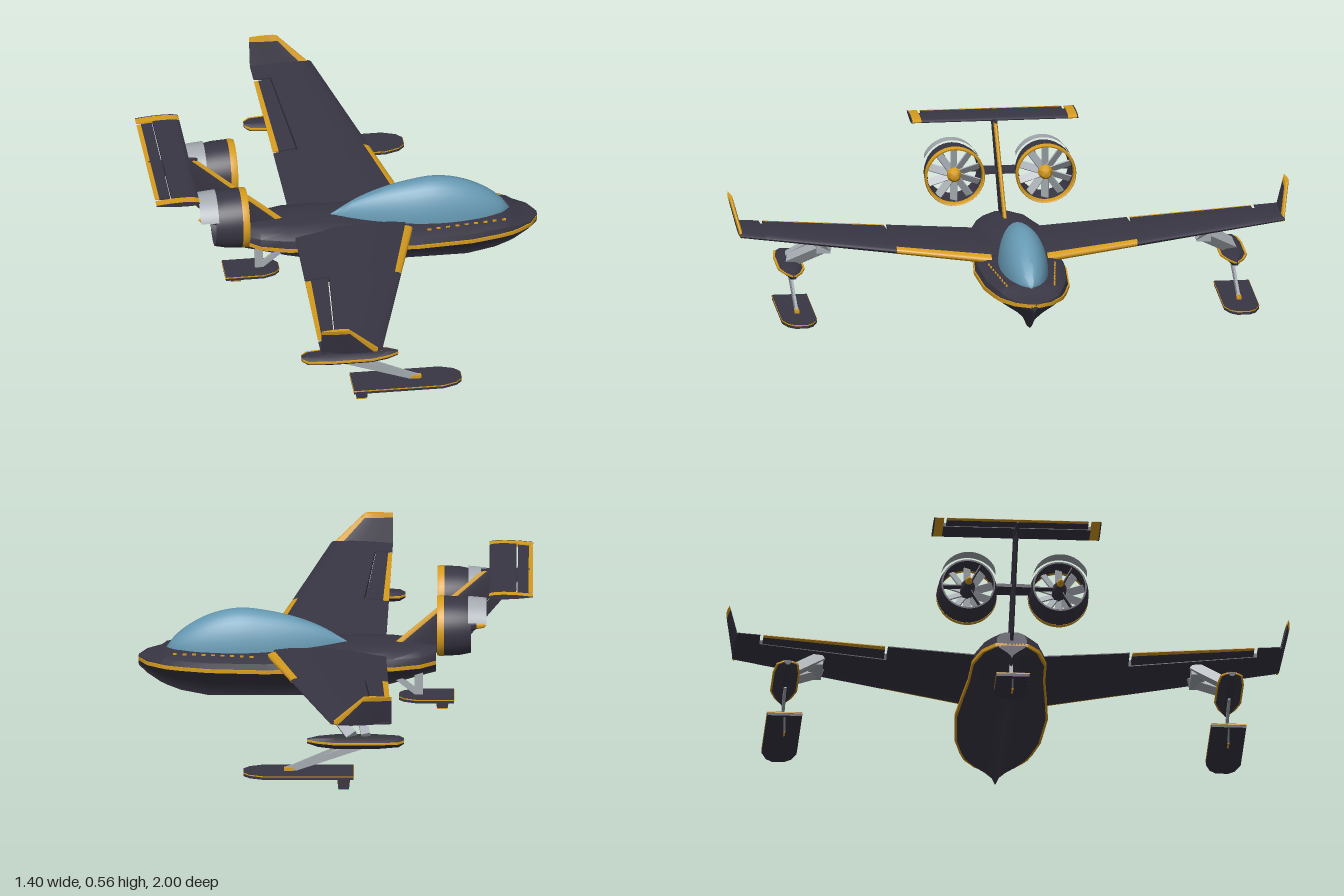
import * as THREE from 'three';
import { toCreasedNormals } from 'three/addons/utils/BufferGeometryUtils.js';

const paint = (name, color) => {
  const m = new THREE.MeshStandardMaterial({ color, side: THREE.DoubleSide });
  m.name = name;
  return m;
};
const DARK = paint('charcoal', 0x393644);
const GOLD = paint('gold', 0xd69c1e);
const GREY = paint('light grey', 0xa4aab0);
const GLASS = paint('blue glass', 0x6699b3);

const lerp = THREE.MathUtils.lerp;

// Closed solid through rings of [x, y, z] points, with capped ends
function loft(rings, crease = 0.6) {
  const pos = [], n = rings[0].length;
  const tri = (a, b, c) => pos.push(...a, ...b, ...c);
  for (let i = 0; i < rings.length - 1; i++)
    for (let j = 0; j < n; j++) {
      const k = (j + 1) % n, [a, b, c, d] = [rings[i][j], rings[i][k], rings[i + 1][k], rings[i + 1][j]];
      tri(a, b, c);
      tri(a, c, d);
    }
  const cap = (r, flip) => {
    const c = [0, 1, 2].map(q => r.reduce((s, p) => s + p[q], 0) / n);
    r.forEach((p, j) => (flip ? tri(c, r[(j + 1) % n], p) : tri(c, p, r[(j + 1) % n])));
  };
  cap(rings[0], true);
  cap(rings[rings.length - 1], false);
  // turn the faces outward when the rings ran the other way
  let vol = 0;
  const A = new THREE.Vector3(), B = new THREE.Vector3(), C = new THREE.Vector3();
  for (let i = 0; i < pos.length; i += 9)
    vol += A.fromArray(pos, i).dot(B.fromArray(pos, i + 3).cross(C.fromArray(pos, i + 6)));
  if (vol < 0)
    for (let i = 0; i < pos.length; i += 9)
      for (let q = 0; q < 3; q++) [pos[i + q], pos[i + 3 + q]] = [pos[i + 3 + q], pos[i + q]];
  const g = new THREE.BufferGeometry();
  g.setAttribute('position', new THREE.Float32BufferAttribute(pos, 3));
  g.computeVertexNormals();
  return toCreasedNormals(g, crease);
}

// Slice u0..u1 of an aerofoil; each section is { x0, x1, y, z, t }
function foil(sections, u0, u1, upright = false) {
  const us = [0, 0.03, 0.15, 0.35, 0.65, 1].map(k => lerp(u0, u1, k));
  const half = u => 2.5 * Math.sqrt(u) * (1 - u) + 0.08;
  return loft(sections.map(s => {
    const side = d => us.map(u => {
      const x = lerp(s.x0, s.x1, u), h = d * s.t * half(u);
      return upright ? [x, s.y, s.z + h] : [x, s.y + h, s.z];
    });
    return [...side(1), ...side(-1).reverse()];
  }));
}

export function createModel() {
  const root = new THREE.Group();
  root.name = 'seaplane';
  const add = (name, geo, mat, parent = root) => {
    const m = new THREE.Mesh(geo, mat);
    m.name = name;
    parent.add(m);
    return m;
  };
  const beam = (name, mat, a, b, w, d, parent) => {
    const A = new THREE.Vector3(...a), B = new THREE.Vector3(...b), dir = B.clone().sub(A);
    const m = add(name, new THREE.BoxGeometry(w, dir.length(), d), mat, parent);
    m.position.copy(A).add(B).multiplyScalar(0.5);
    m.quaternion.setFromUnitVectors(new THREE.Vector3(0, 1, 0), dir.normalize());
  };

  // Fuselage stations: x, half width, keel y, deck y
  const stations = [
    [-0.355, 0.055, 0.17, 0.272], [-0.3, 0.1, 0.155, 0.28], [-0.2, 0.13, 0.125, 0.284],
    [-0.05, 0.135, 0.09, 0.284], [0.1, 0.15, 0.08, 0.275], [0.25, 0.163, 0.08, 0.27],
    [0.45, 0.15, 0.08, 0.268], [0.55, 0.127, 0.1, 0.266], [0.6, 0.111, 0.12, 0.262],
    [0.62, 0.1, 0.13, 0.246], [0.67, 0.065, 0.165, 0.24], [0.7, 0.012, 0.195, 0.232],
  ];
  const mirrored = half => [...half, ...half.filter(p => p[2] > 1e-6).reverse().map(([x, y, z]) => [x, y, -z])];
  const body = (profile, crease) => loft(stations.map(s => mirrored(profile(...s))), crease);
  const V = [[0, 0], [0.1, 0.25], [0.36, 0.5], [0.73, 0.76], [1, 1]];
  add('hull', body((x, w, k) => [...V.map(([a, b]) => [x, lerp(k, 0.22, b), w * a]), [x, 0.22, 0]]), DARK);
  add('chineStripe', body((x, w) => [[x, 0.216, 0], [x, 0.216, w + 0.003], [x, 0.229, w + 0.003], [x, 0.229, 0]]), GOLD);
  add('deck', body((x, w, k, t) => [[x, 0.222, 0], [x, 0.222, w], [x, lerp(0.23, t, 0.5), w * 0.95],
    [x, lerp(0.23, t, 0.85), w * 0.72], [x, t, w * 0.4], [x, t, 0]], 0.8), DARK);

  // Teardrop canopy: x, top y, half width
  const bubble = new THREE.CatmullRomCurve3([
    [-0.04, 0.284, 0.002], [0.05, 0.338, 0.036], [0.15, 0.376, 0.063], [0.25, 0.398, 0.08], [0.34, 0.407, 0.086],
    [0.43, 0.39, 0.08], [0.51, 0.352, 0.064], [0.57, 0.305, 0.038], [0.602, 0.262, 0.003],
  ].map(p => new THREE.Vector3(...p)));
  add('canopy', loft(bubble.getPoints(28).map(p => Array.from({ length: 19 }, (_, i) => {
    const a = (i / 18) * Math.PI;
    return [p.x, 0.255 + (p.y - 0.255) * Math.sin(a), p.z * Math.cos(a)];
  })), 0.9), GLASS);

  for (const s of [1, -1]) {
    const sideName = s > 0 ? 'left' : 'right';

    // Gold dashes along the deck shoulder beside the canopy
    for (let x = 0.3; x < 0.6; x += 0.034) {
      const w = lerp(0.118, 0.082, Math.max(0, (x - 0.3) / 0.3));
      add('deckDash', new THREE.BoxGeometry(0.014, 0.006, 0.005).translate(x, 0.2645, s * w), GOLD);
    }

    // Wing with a cut-out for the aileron
    const wing = new THREE.Group();
    wing.name = sideName + 'Wing';
    root.add(wing);
    const at = z => {
      const k = (z - 0.15) / 0.82;
      return { x0: 0.23 - 0.21 * k, x1: -0.18 - 0.02 * k, y: 0.265 + 0.05 * k, z: s * z, t: 0.024 - 0.013 * k };
    };
    const span = (a, b) => [at(a), at(b)];
    add('wingLeadingTrim', foil(span(0.1, 0.43), 0, 0.065), GOLD, wing);
    add('wingRoot', foil(span(0.08, 0.43), 0.065, 1), DARK, wing);
    add('wingMiddle', foil(span(0.43, 0.885), 0, 0.745), DARK, wing);
    add('wingOuter', foil(span(0.885, 0.972), 0, 1), DARK, wing);
    add('aileron', foil(span(0.44, 0.873), 0.763, 0.94), DARK, wing);
    add('aileronTrim', foil(span(0.44, 0.873), 0.94, 1), GOLD, wing);

    // Winglet
    const tip = k => ({ x0: lerp(0.02, -0.1, k), x1: -0.2, y: lerp(0.308, 0.42, k), z: s * lerp(0.966, 0.994, k), t: 0.008 });
    add('winglet', foil([tip(0), tip(0.86)], 0.14, 1, true), DARK, wing);
    add('wingletFrontTrim', foil([tip(0), tip(0.86)], 0, 0.14, true), GOLD, wing);
    add('wingletTopTrim', foil([tip(0.86), tip(1)], 0, 1, true), GOLD, wing);

    // Outboard float, ski and struts
    const gear = new THREE.Group();
    gear.name = sideName + 'Float';
    root.add(gear);
    const zc = s * 0.79;
    const lens = [[-0.245, 0.015, 0.4], [-0.225, 0.036, 0.8], [-0.15, 0.045, 1], [0, 0.045, 1], [0.06, 0.028, 0.8], [0.1, 0.006, 0.4]];
    add('float', loft(lens.map(([x, w, h]) => [[w, 0], [w * 0.5, 0.015 * h], [-w * 0.5, 0.015 * h], [-w, 0], [-w * 0.3, -0.028 * h], [w * 0.3, -0.028 * h]]
      .map(([z, y]) => [x, 0.186 + y, zc + z]))), DARK, gear);
    add('floatTrim', loft(lens.map(([x, w]) => [[1, 0.003], [-1, 0.003], [-1, -0.003], [1, -0.003]]
      .map(([k, y]) => [x, 0.186 + y, zc + k * (w + 0.003)]))), GOLD, gear);
    beam('rearWingStrut', GREY, [-0.11, 0.2, zc], [-0.08, 0.283, s * 0.66], 0.032, 0.035, gear);
    beam('frontWingStrut', GREY, [-0.06, 0.2, zc], [0.03, 0.283, s * 0.66], 0.04, 0.035, gear);
    beam('strutBridge', GREY, [-0.09, 0.265, s * 0.68], [0.04, 0.265, s * 0.68], 0.03, 0.05, gear);
    beam('skiStrut', GREY, [-0.09, 0.165, zc], [0.17, 0.075, zc], 0.024, 0.01, gear);
    beam('skiBrace', GREY, [-0.02, 0.165, zc], [0.15, 0.09, zc], 0.01, 0.008, gear);
    ski(gear, -0.065, 0.325, 0.058, 0.062, zc);
    add('skiPivot', new THREE.BoxGeometry(0.035, 0.012, 0.016).translate(0.165, 0.079, zc), GOLD, gear);
    fin(gear, -0.03, 0.0, 0.06, zc);

    // Ducted fan, turned about the x axis
    const fan = new THREE.Group();
    fan.name = sideName + 'DuctedFan';
    fan.position.set(0, 0.399, s * 0.163);
    root.add(fan);
    const turn = pts => toCreasedNormals(new THREE.LatheGeometry(pts.map(p => new THREE.Vector2(...p)), 40).rotateZ(-Math.PI / 2), 0.6);
    add('duct', turn([[0.09, -0.48], [0.096, -0.48], [0.104, -0.44], [0.107, -0.385], [0.097, -0.385], [0.09, -0.48]]), DARK, fan);
    add('ductLip', turn([[0.097, -0.385], [0.108, -0.385], [0.108, -0.37], [0.105, -0.36], [0.1, -0.362], [0.097, -0.385]]), GOLD, fan);
    add('hub', turn([[0, -0.5], [0.012, -0.5], [0.025, -0.46], [0.025, -0.4], [0, -0.4]]), DARK, fan);
    add('spinner', turn([[0.026, -0.4], [0.024, -0.385], [0.015, -0.37], [0, -0.365]]), GOLD, fan);
    add('hubTail', turn([[0, -0.535], [0.008, -0.525], [0.012, -0.5]]), GOLD, fan);
    add('exhaustHood', new THREE.CylinderGeometry(0.106, 0.1, 0.065, 24, 1, true, -Math.PI / 2 - 1.17, 2.34)
      .rotateZ(-Math.PI / 2).translate(-0.503, 0, 0), GREY, fan);
    for (let i = 0; i < 10; i++)
      add('blade', new THREE.BoxGeometry(0.005, 0.075, 0.028).rotateY(0.6).translate(0, 0.059, 0)
        .rotateX((i / 10) * Math.PI * 2).translate(-0.405, 0, 0), GREY, fan);
    for (const a of [0.5, 2.6, 4.7])
      add('stator', new THREE.BoxGeometry(0.03, 0.085, 0.004).translate(0, 0.052, 0).rotateX(a).translate(-0.455, 0, 0), DARK, fan);
    add('fanPylon', new THREE.BoxGeometry(0.07, 0.012, 0.06).translate(-0.44, 0.4, s * 0.032), DARK);

    // Tailplane tip with a dark end plate
    add('tailplaneTip', foil([tail(s * 0.262), tail(s * 0.294)], 0, 1), GOLD);
    add('tailplaneEnd', foil([tail(s * 0.294), tail(s * 0.298)], 0, 1), DARK);
  }

  // T-tail
  function tail(z) {
    return { x0: -0.545, x1: -0.7, y: 0.553, z, t: 0.008 };
  }
  add('tailplane', foil([tail(-0.262), tail(0.262)], 0, 0.62), DARK);
  add('elevator', foil([tail(-0.252), tail(0.252)], 0.65, 0.9), DARK);
  add('elevatorTrim', foil([tail(-0.252), tail(0.252)], 0.9, 1), GOLD);
  add('tailFairing', loft([[-0.515, 0.003, 0.548], [-0.56, 0.01, 0.538], [-0.63, 0.01, 0.53], [-0.69, 0.003, 0.545]]
    .map(([x, w, y]) => [[x, 0.556, -w], [x, 0.556, w], [x, y, w], [x, y, -w]])), DARK);
  const mast = y => {
    const k = (y - 0.25) / 0.295;
    return { x0: lerp(-0.175, -0.515, k), x1: lerp(-0.43, -0.675, k), y, z: 0, t: 0.009 };
  };
  add('tailFin', foil([mast(0.24), mast(0.55)], 0.1, 0.745, true), DARK);
  add('tailFinTrim', foil([mast(0.25), mast(0.55)], 0, 0.1, true), GOLD);
  add('rudder', foil([mast(0.245), mast(0.53)], 0.77, 1, true), DARK);

  // Rear ski under the stern
  const stern = new THREE.Group();
  stern.name = 'sternSki';
  root.add(stern);
  ski(stern, -0.42, -0.225, 0.07, 0.058, 0);
  fin(stern, -0.378, 0.03, 0.072, 0);
  beam('sternStrut', GREY, [-0.295, 0.08, 0], [-0.295, 0.18, 0], 0.03, 0.012, stern);
  beam('sternBrace', GREY, [-0.29, 0.09, 0], [-0.21, 0.155, 0], 0.02, 0.012, stern);

  // Flat ski with a chamfered nose and a gold rim along its upper edge
  function ski(parent, x0, x1, y, w, z) {
    const plate = (e, h, base) => {
      const r = Math.min(0.07, (x1 - x0) * 0.3), W = w + e;
      const sh = new THREE.Shape([[x0 - e, -W], [x1 - r, -W], [x1 - r * 0.3, -W * 0.72], [x1 + e, -W * 0.35],
        [x1 + e, W * 0.35], [x1 - r * 0.3, W * 0.72], [x1 - r, W], [x0 - e, W]].map(p => new THREE.Vector2(...p)));
      return new THREE.ExtrudeGeometry(sh, { depth: h, bevelEnabled: false }).rotateX(-Math.PI / 2).translate(0, base, z);
    };
    add('ski', plate(0, 0.015, y), DARK, parent);
    add('skiTrim', plate(0.0015, 0.004, y + 0.0095), GOLD, parent);
  }

  // Small tapered fin below a ski
  function fin(parent, x, y0, y1, z) {
    const row = (y, w) => [[x - w, y, z - 0.003], [x + w, y, z - 0.003], [x + w, y, z + 0.003], [x - w, y, z + 0.003]];
    add('skiFin', loft([row(y0 + 0.004, 0.019), row(y1, 0.025)]), DARK, parent);
    add('skiFinTip', loft([row(y0, 0.018), row(y0 + 0.004, 0.019)]), GOLD, parent);
  }
  return root;
}
